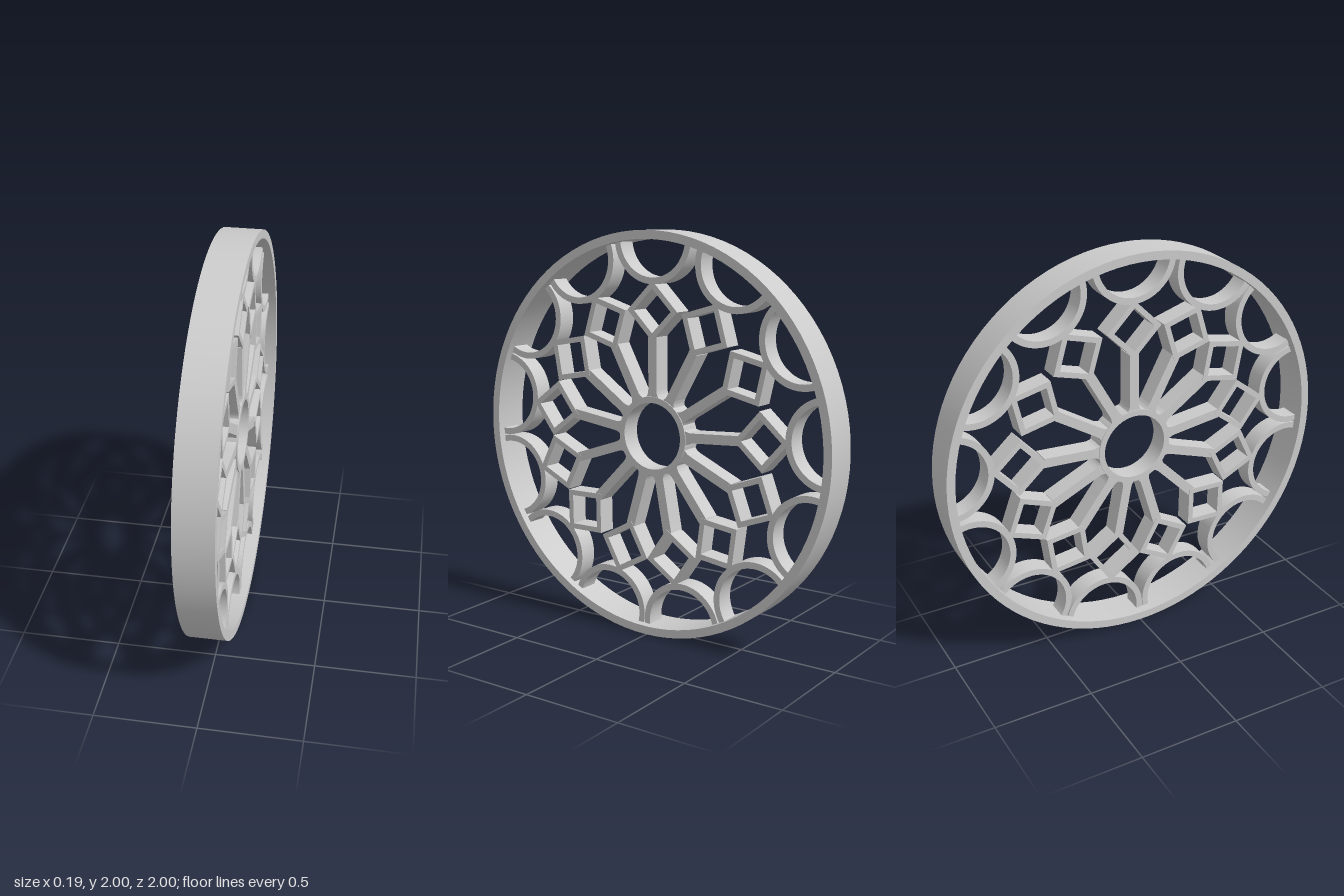
import * as THREE from 'three';
import { toCreasedNormals } from 'three/addons/utils/BufferGeometryUtils.js';

const material = new THREE.MeshStandardMaterial({ color: 0xcccccc });

// Extrude a flat outline, centred on its depth, keeping hard edges crisp.
function plate(name, shape, depth, curveSegments = 24) {
  const geo = new THREE.ExtrudeGeometry(shape, { depth, bevelEnabled: false, curveSegments });
  geo.translate(0, 0, -depth / 2);
  const mesh = new THREE.Mesh(toCreasedNormals(geo, 0.6), material);
  mesh.name = name;
  return mesh;
}

function ringShape(outer, inner) {
  const shape = new THREE.Shape().absarc(0, 0, outer, 0, Math.PI * 2, false);
  shape.holes.push(new THREE.Path().absarc(0, 0, inner, 0, Math.PI * 2, true));
  return shape;
}

// Square standing on its corner, half diagonal r.
const diamondPoints = (r) => [[r, 0], [0, r], [-r, 0], [0, -r]].map(([x, y]) => new THREE.Vector2(x, y));

function diamondShape(outer, inner) {
  const shape = new THREE.Shape(diamondPoints(outer));
  shape.holes.push(new THREE.Path(diamondPoints(inner).reverse()));
  return shape;
}

// Half ring that bulges toward the hub (-x).
function archShape(outer, inner) {
  const shape = new THREE.Shape();
  shape.absarc(0, 0, outer, Math.PI / 2, Math.PI * 1.5, false);
  shape.absarc(0, 0, inner, Math.PI * 1.5, Math.PI / 2, true);
  return shape;
}

// Straight bar along +x with a small flare where it meets the hub.
function spokeShape(start, end, half) {
  const shape = new THREE.Shape();
  shape.moveTo(start, -half - 0.018);
  shape.quadraticCurveTo(start + 0.02, -half, start + 0.045, -half);
  shape.lineTo(end, -half);
  shape.lineTo(end, half);
  shape.lineTo(start + 0.045, half);
  shape.quadraticCurveTo(start + 0.02, half, start, half + 0.018);
  return shape;
}

export function createModel() {
  const model = new THREE.Group();
  model.name = 'roseWindow';

  // Everything is drawn in the XY plane, then turned so the disc faces +x.
  const disc = new THREE.Group();
  disc.name = 'disc';
  disc.rotation.y = Math.PI / 2;
  disc.position.y = 1;
  model.add(disc);

  // Outer rim
  disc.add(plate('rim', ringShape(1, 0.958), 0.187, 48));

  // Tracery sits very slightly off the rim's centre
  const tracery = new THREE.Group();
  tracery.name = 'tracery';
  tracery.position.set(0.01, 0.007, 0.004);
  disc.add(tracery);
  tracery.add(plate('hub', ringShape(0.195, 0.165), 0.105, 32));

  // Thirteen petals: spoke, diamond frame and arch, slightly uneven spacing
  const angles = [3.5, 32.2, 61, 90, 118, 145.2, 172.2, 199, 226, 253.8, 280.5, 307.5, 335.3];
  const spoke = plate('spoke', spokeShape(0.183, 0.485, 0.024), 0.095, 6);
  const diamond = plate('diamondFrame', diamondShape(0.145, 0.107), 0.1);
  diamond.position.x = 0.61;
  const arch = plate('arch', archShape(0.22, 0.188), 0.1);
  arch.position.x = 0.957;

  for (const angle of angles) {
    const petal = new THREE.Group();
    petal.name = 'petal';
    petal.add(spoke.clone(), diamond.clone(), arch.clone());
    petal.rotation.z = THREE.MathUtils.degToRad(angle);
    tracery.add(petal);
  }
  return model;
}
